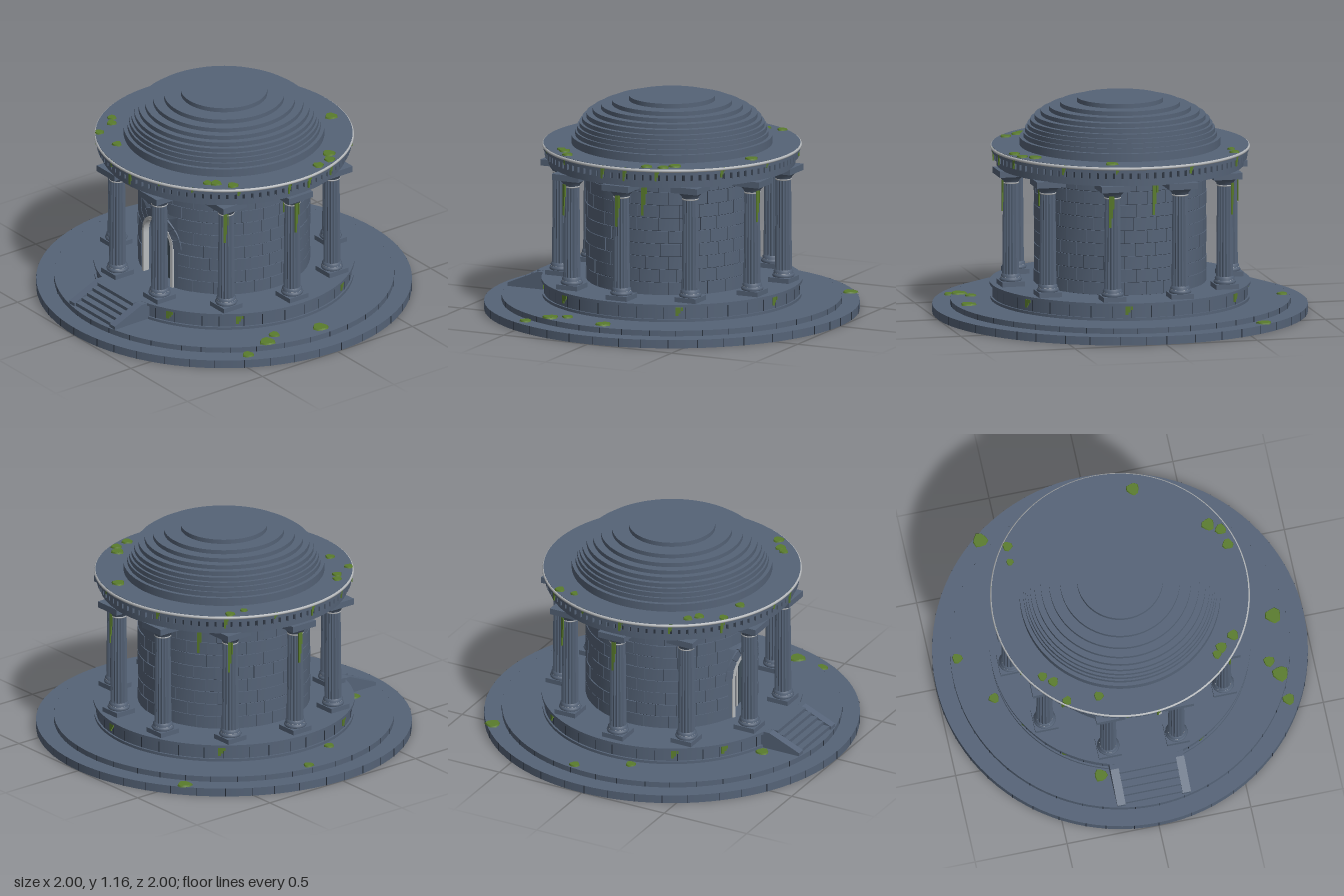
import * as THREE from 'three';
import { mergeGeometries } from 'three/addons/utils/BufferGeometryUtils.js';

const TAU = Math.PI * 2;
const makeMat = (name, color) => {
  const m = new THREE.MeshStandardMaterial({ color });
  m.name = name;
  return m;
};
const flat = (g) => (g.index ? g.toNonIndexed() : g);
let seed = 7;
const rnd = () => ((seed = (seed * 16807) % 2147483647) / 2147483647);

export function createModel() {
  const stone = makeMat('blue grey stone', 0x556377);
  const mortar = makeMat('dark joints', 0x2a323e);
  const trim = makeMat('pale trim', 0xb6b9bc);
  const moss = makeMat('moss', 0x5a7c2c);
  const doorMat = makeMat('door', 0x41505b);

  const model = new THREE.Group();
  model.name = 'rotunda';
  const add = (name, geos, mat, parent = model) => {
    const mesh = new THREE.Mesh(mergeGeometries([geos].flat().map(flat)), mat);
    mesh.name = name;
    parent.add(mesh);
    return mesh;
  };
  const disc = (r, y0, y1, rt = r) =>
    new THREE.CylinderGeometry(rt, r, y1 - y0, 96).translate(0, (y0 + y1) / 2, 0);
  const box = (w, h, d, x, y, z) => new THREE.BoxGeometry(w, h, d).translate(x, y, z);
  // box facing outward at angle a (0 = front) and radius r
  const polarBox = (w, h, d, a, r, y) => box(w, h, d, 0, y, r).rotateY(a);
  // block bent round the vertical axis
  const arcBlock = (r0, r1, y0, y1, a0, a1, segs) => {
    const g = new THREE.BoxGeometry(1, 1, 1, segs, 1, 1);
    const p = g.attributes.position;
    for (let i = 0; i < p.count; i++) {
      const a = a0 + (p.getX(i) + 0.5) * (a1 - a0);
      const r = r0 + (p.getZ(i) + 0.5) * (r1 - r0);
      p.setXYZ(i, r * Math.sin(a), y0 + (p.getY(i) + 0.5) * (y1 - y0), r * Math.cos(a));
    }
    g.computeVertexNormals();
    return g;
  };
  // push a front-facing extrusion onto the curve of the wall
  const WALL = 0.457;
  const bentShape = (shape, back, front) => {
    const g = new THREE.ExtrudeGeometry(shape, { depth: front - back, bevelEnabled: false, curveSegments: 20 });
    const p = g.attributes.position;
    for (let i = 0; i < p.count; i++) {
      const x = p.getX(i);
      p.setZ(i, p.getZ(i) + back + Math.sqrt(WALL * WALL - x * x));
    }
    g.computeVertexNormals();
    return g;
  };

  // Stepped base and podium
  add('lowerBase', disc(1, 0, 0.045), stone);
  add('upperBase', disc(0.905, 0.045, 0.075), stone);
  add('podium', [disc(0.69, 0.075, 0.09), disc(0.68, 0.09, 0.155), disc(0.695, 0.155, 0.17)], stone);
  const joints = [];
  for (const [n, r, y0, y1] of [[44, 1, 0, 0.045], [40, 0.905, 0.045, 0.075], [36, 0.68, 0.09, 0.155]])
    for (let i = 0; i < n; i++)
      joints.push(polarBox(0.004, y1 - y0, 0.003, ((i + 0.3 * rnd()) / n) * TAU, r, (y0 + y1) / 2));
  add('baseJoints', joints, mortar);

  // Front stairs between sloping cheek walls
  const steps = [];
  for (let i = 0; i < 5; i++) {
    const end = 0.87 - i * 0.036, top = 0.094 + i * 0.019;
    steps.push(box(0.31, top - 0.075, end - 0.6, 0, (top + 0.075) / 2, (end + 0.6) / 2));
  }
  add('steps', steps, stone);
  const cheek = new THREE.Shape(
    [[0.6, 0.075], [0.88, 0.075], [0.88, 0.093], [0.7, 0.169], [0.6, 0.169]].map((p) => new THREE.Vector2(...p)));
  for (const x of [0.2, -0.155])
    add('stairCheek', new THREE.ExtrudeGeometry(cheek, { depth: 0.045, bevelEnabled: false })
      .rotateY(-Math.PI / 2).translate(x, 0, 0), stone);

  // Round chamber: dark core behind courses of curved bricks
  const GAP = 0.355;
  add('chamberCore', [arcBlock(0.38, 0.453, 0.17, 0.59, GAP, TAU - GAP, 72), disc(0.453, 0.59, 0.8)], mortar);
  const bricks = [];
  for (let c = 0; c < 9; c++) {
    const y = 0.17 + c * 0.07;
    const start = c < 6 ? GAP : 0, span = TAU - 2 * start, n = c < 6 ? 23 : 26;
    const cuts = [start];
    for (let i = 1; i < n; i++) cuts.push(start + (span * (i + (c % 2 ? 0.25 : -0.25) + (rnd() - 0.5) * 0.25)) / n);
    cuts.push(start + span);
    for (let i = 0; i < n; i++)
      bricks.push(arcBlock(0.44, WALL + rnd() * 0.004, y + 0.0015, y + 0.0685, cuts[i] + 0.003, cuts[i + 1] - 0.003, 4));
  }
  add('chamberBricks', bricks, stone);

  // Arched portal
  const SPRING = 0.4;
  const archPath = (P, r) => {
    const s = new P();
    s.moveTo(-r, 0.17);
    s.lineTo(r, 0.17);
    s.lineTo(r, SPRING);
    s.absarc(0, SPRING, r, 0, Math.PI, false);
    s.closePath();
    return s;
  };
  // open-footed band following the arch
  const archBand = (r0, r1) => {
    const s = new THREE.Shape();
    s.moveTo(r1, 0.17);
    s.lineTo(r1, SPRING);
    s.absarc(0, SPRING, r1, 0, Math.PI, false);
    s.lineTo(-r1, 0.17);
    s.lineTo(-r0, 0.17);
    s.lineTo(-r0, SPRING);
    s.absarc(0, SPRING, r0, Math.PI, 0, true);
    s.lineTo(r0, 0.17);
    return s;
  };
  const surround = new THREE.Shape([new THREE.Vector2(-0.16, 0.17), new THREE.Vector2(0.16, 0.17)]);
  for (let i = 0; i <= 10; i++) surround.lineTo(0.16 - i * 0.032, 0.59);
  surround.holes.push(archPath(THREE.Path, 0.125));
  add('portalWall', bentShape(surround, -0.09, 0), stone);
  add('archTrim', bentShape(archBand(0.117, 0.135), -0.03, 0.008), trim);
  const voussoirs = [];
  for (let i = 0; i < 9; i++) {
    const a0 = (i / 9) * Math.PI + 0.012, a1 = ((i + 1) / 9) * Math.PI - 0.012;
    const s = new THREE.Shape();
    s.absarc(0, SPRING, i === 4 ? 0.2 : 0.182, a0, a1, false);
    s.absarc(0, SPRING, 0.137, a1, a0, true);
    voussoirs.push(bentShape(s, -0.01, i === 4 ? 0.012 : 0.007));
  }
  add('archStones', voussoirs, stone);
  add('doorLeaves', new THREE.ExtrudeGeometry(archPath(THREE.Shape, 0.126),
    { depth: 0.02, bevelEnabled: false, curveSegments: 20 }).translate(0, 0, 0.37), doorMat);
  add('doorSeam', [box(0.016, 0.35, 0.008, 0, 0.345, 0.393)], trim);
  add('doorSeamShadow', [-1, 1].map((s) => box(0.006, 0.345, 0.004, s * 0.012, 0.343, 0.392)), mortar);

  // Ten fluted columns with square plinths and capitals
  const lathe = (pts) => new THREE.LatheGeometry(pts.map((p) => new THREE.Vector2(...p)), 24);
  const flutedShaft = () => {
    const g = new THREE.CylinderGeometry(0.041, 0.046, 0.5, 32, 1, true).translate(0, 0.48, 0);
    const p = g.attributes.position;
    for (let i = 0; i < p.count; i++) {
      const k = (i % 33) % 2 ? 0.88 : 1;
      p.setXYZ(i, p.getX(i) * k, p.getY(i), p.getZ(i) * k);
    }
    const f = g.toNonIndexed();
    f.computeVertexNormals();
    return f;
  };
  for (let k = 0; k < 10; k++) {
    const a = ((18 + 36 * k) * Math.PI) / 180;
    const column = new THREE.Group();
    column.name = 'column';
    column.position.set(0.6 * Math.sin(a), 0, 0.6 * Math.cos(a));
    add('plinth', box(0.124, 0.026, 0.124, 0, 0.183, 0), stone, column);
    add('columnBase', lathe([[0.056, 0.195], [0.06, 0.203], [0.056, 0.212], [0.05, 0.216], [0.053, 0.225], [0.045, 0.235]]), stone, column);
    add('shaft', flutedShaft(), stone, column);
    add('columnRings', [[0.046, 0.213, 0.006], [0.04, 0.727, 0.005]].map(([r, y, t]) =>
      new THREE.TorusGeometry(r, t, 6, 24).rotateX(Math.PI / 2).translate(0, y, 0)), trim, column);
    add('capital', lathe([[0.041, 0.725], [0.046, 0.74], [0.06, 0.755], [0.07, 0.767]]), stone, column);
    add('abacus', box(0.158, 0.034, 0.158, 0, 0.783, 0), stone, column);
    model.add(column);
  }

  // Entablature with dentils and pale cornice ring
  add('architrave', [disc(0.658, 0.798, 0.835), disc(0.662, 0.835, 0.875)], stone);
  add('cornice', disc(0.684, 0.872, 0.906), stone);
  const dentils = [], gaps = [];
  for (let i = 0; i < 96; i++) {
    const a = (i / 96) * TAU;
    dentils.push(polarBox(0.03, 0.034, 0.02, a, 0.667, 0.855));
    gaps.push(polarBox(0.011, 0.034, 0.004, a + TAU / 192, 0.662, 0.855));
  }
  add('dentils', dentils, stone);
  add('dentilGaps', gaps, mortar);
  add('corniceRing', new THREE.TorusGeometry(0.683, 0.009, 8, 96).rotateX(Math.PI / 2).translate(0, 0.896, 0), trim);

  // Stepped dome
  const tiers = [[0.535, 0.95], [0.515, 0.975], [0.505, 1.0], [0.493, 1.022], [0.478, 1.045],
    [0.455, 1.07], [0.422, 1.093], [0.378, 1.116], [0.32, 1.139], [0.23, 1.163]];
  add('dome', tiers.map(([r, y], i) => disc(r, i ? tiers[i - 1][1] : 0.9, y)), stone);

  // Moss patches lying on the flat ledges: x, z, size
  const blob = (x, z, s, y) => {
    const g = new THREE.CylinderGeometry(s * 0.9, s, 0.008, 9);
    const p = g.attributes.position;
    for (let i = 0; i < p.count; i++) {
      const k = 1 + 0.13 * Math.sin(Math.atan2(p.getZ(i), p.getX(i)) * 3 + x * 20);
      p.setXYZ(i, p.getX(i) * k, p.getY(i), p.getZ(i) * k);
    }
    return g.translate(x, y + 0.004, z);
  };
  const ledge = (y, list) => list.map(([x, z, s]) => blob(x, z, s, y));
  add('roofMoss', ledge(0.906, [[-0.53, -0.39, 0.027], [-0.535, -0.3, 0.02], [0.19, -0.57, 0.035], [0.54, -0.29, 0.035],
    [0.6, -0.25, 0.03], [0.62, -0.16, 0.03], [-0.5, 0.37, 0.025], [-0.45, 0.41, 0.027], [-0.4, 0.53, 0.025],
    [-0.23, 0.54, 0.026], [0.435, 0.44, 0.024], [0.465, 0.405, 0.03], [0.54, 0.35, 0.03]]), moss);
  add('baseMoss', [...ledge(0.075, [[-0.86, -0.12, 0.028], [-0.715, 0.14, 0.028], [0.835, -0.01, 0.043],
    [0.76, 0.24, 0.03], [0.805, 0.32, 0.043], [-0.25, 0.685, 0.035]]),
    ...ledge(0.045, [[-0.6, -0.76, 0.04], [0.82, 0.46, 0.032]])], moss);

  // Moss streaks hanging from the cornice, on the podium, shafts and wall
  const streak = (deg, r, top, len, w = 0.014) => [0, 1, 2].map((i) =>
    polarBox(w * (1 - i * 0.2), len * (1 - i * 0.3), 0.006, (deg * Math.PI) / 180 + ((i - 1) * w * 0.8) / r, r, top - (len * (1 - i * 0.3)) / 2));
  const streaks = [];
  for (const d of [-62, -38, -8, 6, 23, 39, 60, 84, 95, 110, 140, 165, 200, 232, 255, 275])
    streaks.push(...streak(d, 0.681, 0.905, 0.025 + rnd() * 0.055, 0.01));
  for (const d of [-37, 28, 60, 120, 170, 230, 300]) streaks.push(...streak(d, 0.684, 0.152, 0.045, 0.016));
  for (const d of [54, 90, 162, 234, 270]) streaks.push(...streak(d, 0.645, 0.74, 0.17, 0.011));
  for (const d of [98, 190, 215]) streaks.push(...streak(d, 0.462, 0.8, 0.2, 0.013));
  add('mossStreaks', streaks, moss);

  return model;
}
